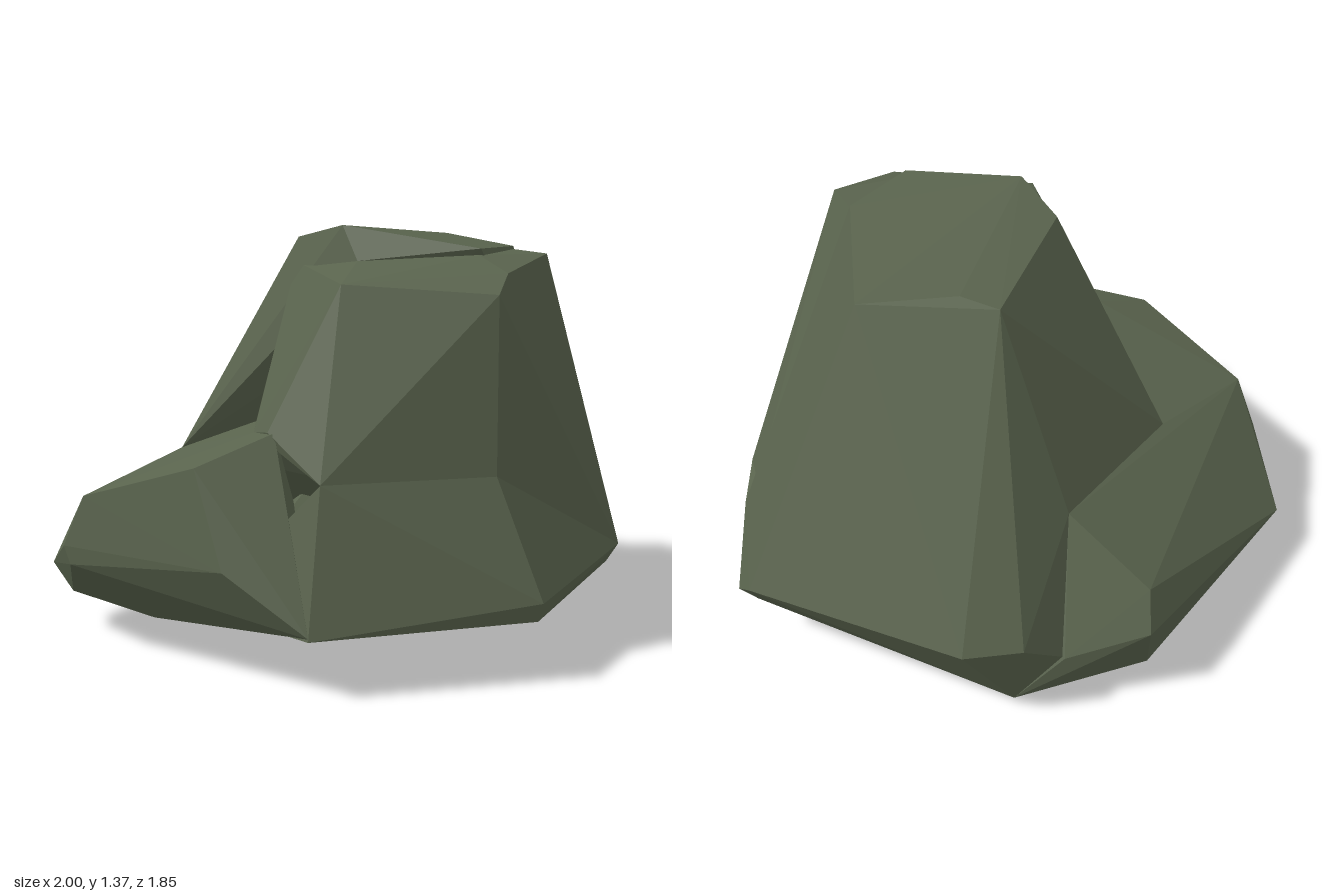
import * as THREE from 'three';
import { ConvexGeometry } from 'three/addons/geometries/ConvexGeometry.js';

// A chipped boulder assembled from overlapping convex chunks of stone.
export function createModel() {
  const model = new THREE.Group();
  model.name = 'boulder';
  const stone = new THREE.MeshStandardMaterial({ color: 0x59634d });
  stone.name = 'mossy stone';

  const chunk = (name, corners) => {
    const mesh = new THREE.Mesh(
      new ConvexGeometry(corners.map((c) => new THREE.Vector3(...c))), stone);
    mesh.name = name;
    model.add(mesh);
  };

  // Tall core: cap plateau, back wall and right flank
  chunk('core', [
    [-0.27, 1.33, 0], [0.17, 1.32, -0.35], [0.25, 1.34, -0.25], [0.53, 1.33, -0.11],
    [0.25, 1.3, 0.47], [-0.03, 1.3, 0.59], [-0.28, 1.37, 0.23], [-0.28, 1.26, 0.3],
    [0.38, 0.4, -0.83], [0.56, 0.41, -0.76], [1, 0.43, -0.17], [0.98, 0.28, 0],
    [0.78, 0.26, 0.41], [0.73, 0.23, 0.46], [0.92, 0.2, 0], [0.34, 0.05, -0.72],
    [0.08, 0.67, -0.62], [-0.5, 0.61, -0.36], [0.2, 0.235, -0.79],
  ]);

  // Front shoulder, one step below the cap, with the bevelled right edge
  chunk('frontShoulder', [
    [-0.05, 1.23, 0.72], [-0.12, 1.17, 0.75], [-0.14, 0.63, 0.77], [0.23, 1.28, 0.63],
    [0.25, 1.29, 0.47], [0.66, 0.26, 0.62], [0.73, 0.23, 0.46], [-0.03, 1.28, 0.58],
    [-0.28, 1.26, 0.3], [-0.28, 1.25, 0], [-0.46, 1.2, 0.43], [-0.62, 0.63, 0.52],
    [-0.64, 0.76, 0.3], [-0.63, 0.75, 0.22], [-0.4, 0.7, -0.08],
  ]);

  // Flared foot below the shoulder
  chunk('frontFoot', [
    [-0.14, 0.63, 0.77], [-0.62, 0.63, 0.52], [-0.71, 0.19, 0.57], [-0.09, 0.26, 0.92],
    [-0.09, 0.2, 0.9], [0.66, 0.26, 0.62], [0.62, 0.2, 0.6], [0.78, 0.26, 0.41],
    [0.75, 0.2, 0.4], [0.98, 0.28, 0], [0.92, 0.2, 0], [-0.75, 0.19, 0.1],
  ]);

  // Low ledge wrapping the back left corner
  chunk('ledge', [
    [-0.04, 0.33, -0.93], [-0.07, 0.466, -0.87], [0.08, 0.67, -0.62], [0.2, 0.235, -0.8],
    [-0.5, 0.61, -0.36], [-0.63, 0.75, 0.22], [-0.63, 0.76, 0.32], [-0.86, 0.67, 0.23],
    [-0.97, 0.53, -0.22], [-1, 0.36, -0.3], [-0.99, 0.3, -0.28], [-0.87, 0.22, -0.61],
    [-0.86, 0.14, -0.5], [-0.86, 0.38, 0.36], [-0.71, 0.2, 0.57], [-0.75, 0.1, -0.17],
    [-0.16, 0, -0.79], [0.34, 0.05, -0.72],
  ]);

  // Sloping underside joining the ledge to the right flank
  chunk('underside', [
    [0.92, 0.2, 0], [0.34, 0.05, -0.72], [-0.16, 0, -0.79], [-0.75, 0.1, -0.17],
    [-0.7, 0.2, 0.1], [0, 0.4, -0.3],
  ]);

  return model;
}
